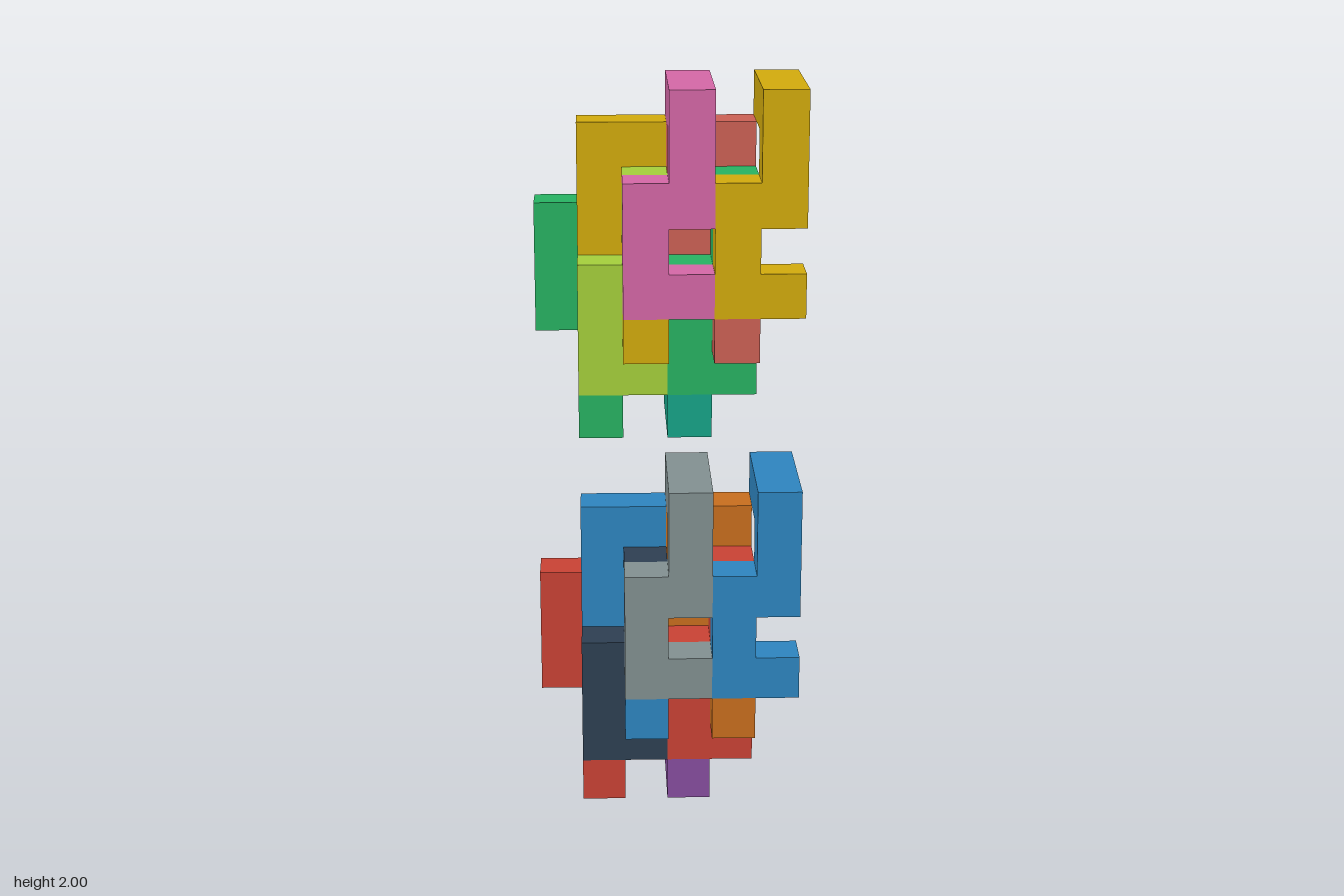
import * as THREE from 'three';
import { mergeGeometries } from 'three/addons/utils/BufferGeometryUtils.js';

const U = 2 / 17; // one puzzle cell

// One hooked S-shaped piece, in cells: a flat S body plus a prong reaching back
function pieceGeometry() {
  const outline = [[0, 0], [2, 0], [2, 1], [1, 1], [1, 2], [2, 2], [2, 5], [1, 5], [1, 3], [0, 3]];
  const shape = new THREE.Shape(outline.map(([x, y]) => new THREE.Vector2(x, y)));
  const body = new THREE.ExtrudeGeometry(shape, { depth: 1, bevelEnabled: false });
  const prong = new THREE.BoxGeometry(1, 1, 2).toNonIndexed().translate(1.5, 4.5, -1);
  return mergeGeometries([body, prong]);
}

// Position in cells, whether the piece is turned upside down,
// and its colour in the lower and upper assembly
const PIECES = [
  ['frontLeftHook', [1, 3, 1], false, 0x2e86c1, 0xd4ac0d],
  ['frontRightHook', [-1, 3, 1], false, 0x839192, 0xd668a8],
  ['middleLeftHook', [0, 1, 0], false, 0xcb4335, 0x28b463],
  ['middleRightHook', [-2, 1, 0], false, 0x2e4053, 0xa6d13c],
  ['innerLeftHook', [0, 7, 0], true, 0xca6f1e, 0xcd6155],
  ['innerRightHook', [-2, 7, 0], true, 0x2e86c1, 0xd4ac0d],
  ['backLeftHook', [-1, 5, -1], true, 0x884ea0, 0x17a589],
  ['backRightHook', [-3, 5, -1], true, 0xcb4335, 0x28b463],
];

export function createModel() {
  const model = new THREE.Group();
  model.name = 'interlockingPuzzles';
  const geometry = pieceGeometry();

  // Two identical assemblies, one above the other with a gap of one cell
  ['lowerAssembly', 'upperAssembly'].forEach((label, i) => {
    const assembly = new THREE.Group();
    assembly.name = label;
    assembly.position.y = i * 9;
    for (const [name, position, flipped, ...colors] of PIECES) {
      const material = new THREE.MeshStandardMaterial({ color: colors[i] });
      const piece = new THREE.Mesh(geometry, material);
      piece.name = name;
      piece.position.set(...position);
      if (flipped) piece.rotation.x = Math.PI;
      assembly.add(piece);
    }
    model.add(assembly);
  });

  model.scale.setScalar(U);
  return model;
}
